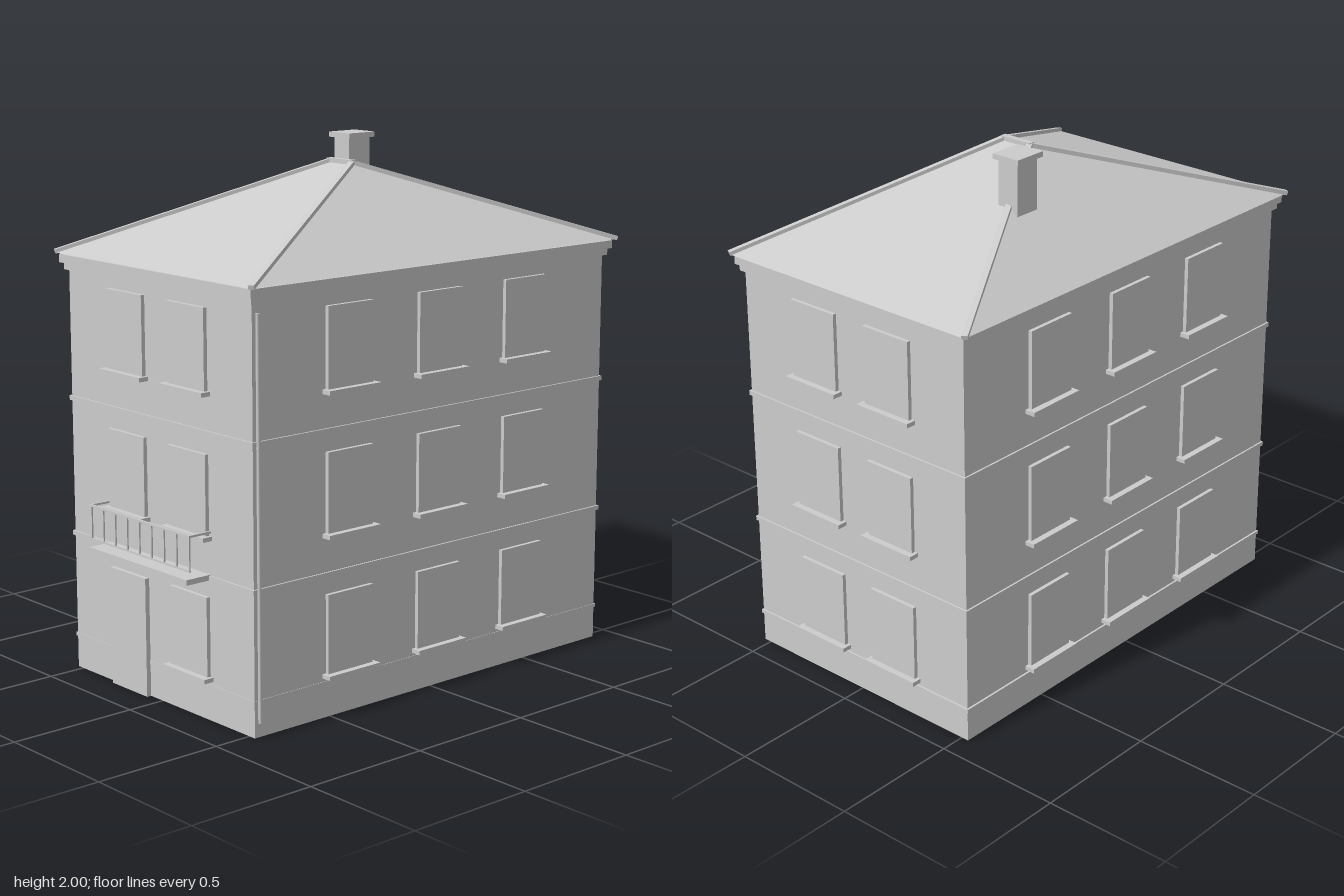
import * as THREE from 'three';

export function createModel() {
  const model = new THREE.Group();
  model.name = 'townhouse';
  const plaster = new THREE.MeshStandardMaterial({ color: 0xcccccc });
  plaster.name = 'light grey plaster';

  const X = 0.53, FRONT = 0.85, BACK = -0.905, MID = -0.028;

  const add = (name, geometry, parent = model) => {
    const mesh = new THREE.Mesh(geometry, plaster);
    mesh.name = name;
    parent.add(mesh);
    return mesh;
  };
  // box given by its limits on each axis
  const block = (name, x0, x1, y0, y1, z0, z1, parent) => {
    const mesh = add(name, new THREE.BoxGeometry(x1 - x0, y1 - y0, z1 - z0), parent);
    mesh.position.set((x0 + x1) / 2, (y0 + y1) / 2, (z0 + z1) / 2);
    return mesh;
  };
  const ring = (name, y0, y1, out) =>
    block(name, -X - out, X + out, y0, y1, BACK - out, FRONT + out);

  // walls, storey bands and stepped cornice
  block('walls', -X, X, 0, 1.6, BACK, FRONT);
  block('plinthLedge', -X - 0.008, X + 0.002, 0.122, 0.136, BACK - 0.008, FRONT + 0.002);
  ring('lowerBand', 0.524, 0.541, 0.007);
  ring('upperBand', 1.046, 1.064, 0.007);
  ring('lowerCornice', 1.54, 1.566, 0.014);
  ring('upperCornice', 1.566, 1.597, 0.026);

  // windows with sills, facing +z before being turned to their wall
  const addWindow = (x, y, z, turn) => {
    const win = new THREE.Group();
    win.name = 'window';
    block('windowPanel', -0.107, 0.107, 0, 0.295, -0.01, 0.015, win);
    block('windowSill', -0.122, 0.122, -0.016, 0, -0.01, 0.04, win);
    win.position.set(x, y, z);
    win.rotation.y = turn;
    model.add(win);
  };
  [0.165, 0.685, 1.205].forEach((y, floor) => {
    for (const s of [-1, 1]) {
      if (floor > 0 || s > 0) addWindow(s * 0.178, y, FRONT, 0);
      addWindow(s * 0.178, y, BACK, Math.PI);
      for (const z of [-0.44, 0, 0.44]) addWindow(s * X, y, MID + z, s * Math.PI / 2);
    }
  });

  block('door', -0.285, -0.071, 0, 0.452, FRONT - 0.01, 0.868);

  // balcony slab and railing
  const balcony = new THREE.Group();
  balcony.name = 'balcony';
  model.add(balcony);
  block('balconySlab', -0.29, 0.29, 0.524, 0.544, FRONT - 0.01, 0.957, balcony);
  block('topRail', -0.296, 0.296, 0.696, 0.704, 0.939, 0.947, balcony);
  block('bottomRail', -0.294, 0.294, 0.57, 0.577, 0.939, 0.946, balcony);
  for (const s of [-1, 1]) {
    const x = s * 0.292;
    block('sideRail', x - 0.004, x + 0.004, 0.696, 0.704, FRONT - 0.005, 0.94, balcony);
  }
  for (let i = -4; i <= 4; i++) {
    const x = i * 0.0725;
    block('baluster', x - 0.003, x + 0.003, 0.572, 0.7, 0.94, 0.946, balcony);
  }

  // downpipe at the front corner
  const pipe = add('downpipe', new THREE.CylinderGeometry(0.007, 0.007, 1.455, 8));
  pipe.position.set(X + 0.008, 0.782, 0.832);

  // hipped roof: four eave corners, two ridge ends
  const eave = 1.602, top = 1.917, zF = 0.885, zB = -0.942;
  const corners = [[-0.57, eave, zF], [0.57, eave, zF], [0.57, eave, zB], [-0.57, eave, zB]];
  const ridge = [[-0.06, top, MID], [0.06, top, MID]];
  const p = [...corners, ...ridge];
  const faces = [0, 1, 5, 0, 5, 4, 1, 2, 5, 2, 3, 4, 2, 4, 5, 3, 0, 4, 0, 3, 2, 0, 2, 1];
  const roof = new THREE.BufferGeometry();
  roof.setAttribute('position', new THREE.Float32BufferAttribute(faces.flatMap(i => p[i]), 3));
  roof.computeVertexNormals();
  add('roof', roof);

  // hip and ridge caps
  const hipCap = (name, a, b) => {
    const from = new THREE.Vector3(...a), to = new THREE.Vector3(...b);
    const cap = add(name, new THREE.BoxGeometry(0.022, 0.016, from.distanceTo(to)));
    cap.position.copy(from).add(to).multiplyScalar(0.5);
    cap.position.y += 0.004;
    cap.lookAt(to.x, to.y + 0.004, to.z);
  };
  corners.forEach((c, i) => hipCap('hipCap', c, ridge[i === 1 || i === 2 ? 1 : 0]));
  block('ridgeCap', -0.07, 0.07, 1.908, 1.93, MID - 0.012, MID + 0.012);

  // chimney
  block('chimney', -0.277, -0.19, 1.7, 1.982, -0.344, -0.238);
  block('chimneyCap', -0.292, -0.175, 1.98, 2, -0.358, -0.225);

  return model;
}
